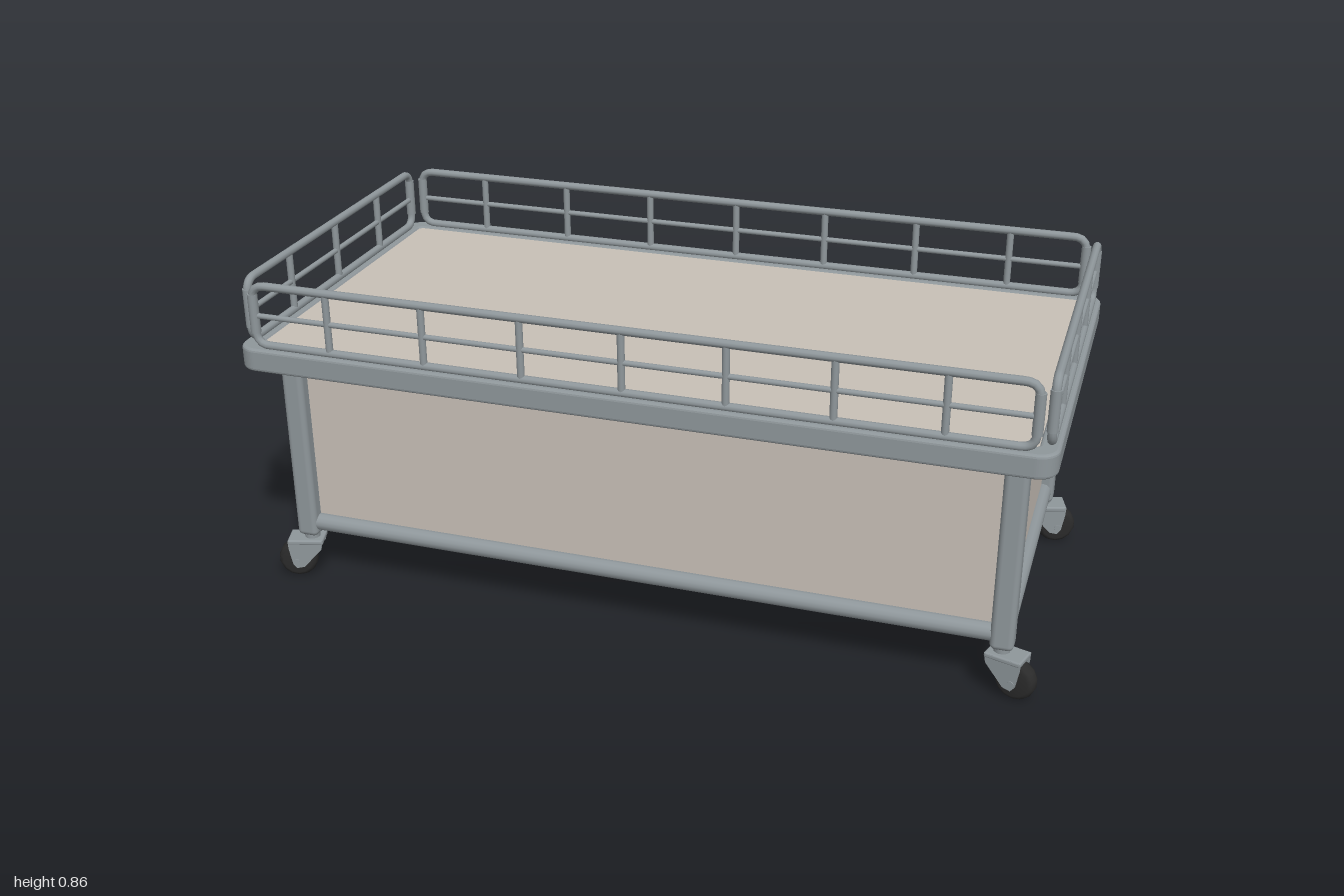
import * as THREE from 'three';
import { RoundedBoxGeometry } from 'three/addons/geometries/RoundedBoxGeometry.js';

const metal = new THREE.MeshStandardMaterial({ color: 0x8f979b });
metal.name = 'grey metal';
const panel = new THREE.MeshStandardMaterial({ color: 0xc8c0b7 });
panel.name = 'beige panel';
const rubber = new THREE.MeshStandardMaterial({ color: 0x2b2b2b });
rubber.name = 'black rubber';

function add(parent, name, geometry, material, x = 0, y = 0, z = 0) {
  const mesh = new THREE.Mesh(geometry, material);
  mesh.name = name;
  mesh.position.set(x, y, z);
  parent.add(mesh);
  return mesh;
}

// Round bar between two points
function bar(parent, name, a, b, r) {
  const from = new THREE.Vector3(...a), to = new THREE.Vector3(...b);
  const mesh = add(parent, name, new THREE.CylinderGeometry(r, r, from.distanceTo(to), 14), metal);
  mesh.position.copy(from).add(to).multiplyScalar(0.5);
  mesh.quaternion.setFromUnitVectors(new THREE.Vector3(0, 1, 0), to.sub(from).normalize());
}

function roundedRect(Type, w, d, r) {
  const s = new Type();
  s.moveTo(-w + r, -d);
  s.lineTo(w - r, -d);
  s.absarc(w - r, -d + r, r, -Math.PI / 2, 0);
  s.lineTo(w, d - r);
  s.absarc(w - r, d - r, r, 0, Math.PI / 2);
  s.lineTo(-w + r, d);
  s.absarc(-w + r, d - r, r, Math.PI / 2, Math.PI);
  s.lineTo(-w, -d + r);
  s.absarc(-w + r, -d + r, r, Math.PI, Math.PI * 1.5);
  return s;
}

// Closed tube loop with rounded corners, in the xy plane
function loopTube(half, low, high, corner, r) {
  const path = new THREE.CurvePath();
  const v = (x, y) => new THREE.Vector3(x, y, 0);
  const corners = [v(half, low), v(half, high), v(-half, high), v(-half, low)];
  const toward = (p, q) => p.clone().add(q.clone().sub(p).setLength(corner));
  corners.forEach((p, i) => {
    const prev = corners[(i + 3) % 4], next = corners[(i + 1) % 4];
    path.add(new THREE.QuadraticBezierCurve3(toward(p, prev), p, toward(p, next)));
    path.add(new THREE.LineCurve3(toward(p, next), toward(next, p)));
  });
  return new THREE.TubeGeometry(path, 300, r, 10, true);
}

// Guard rail: loop, middle bar, uprights and thicker end sleeves
function guardRail(name, half, spacing, count) {
  const rail = new THREE.Group();
  rail.name = name;
  add(rail, 'railLoop', loopTube(half, 0.696, 0.851, 0.035, 0.0105), metal);
  bar(rail, 'middleBar', [-half, 0.772, 0], [half, 0.772, 0], 0.007);
  for (let i = -count; i <= count; i++)
    bar(rail, 'upright', [i * spacing, 0.696, 0], [i * spacing, 0.851, 0], 0.009);
  for (const s of [-1, 1])
    bar(rail, 'endSleeve', [s * half, 0.728, 0], [s * half, 0.828, 0], 0.0125);
  return rail;
}

// Swivel caster trailing along local +x
function caster() {
  const g = new THREE.Group();
  g.name = 'caster';
  add(g, 'stem', new THREE.CylinderGeometry(0.02, 0.02, 0.03, 16), metal, 0, 0.12, 0);
  add(g, 'forkTop', new RoundedBoxGeometry(0.094, 0.014, 0.066, 2, 0.005), metal, 0.015, 0.108, 0);
  const side = new THREE.Shape([
    [-0.031, 0.113], [-0.026, 0.088], [0.022, 0.036], [0.042, 0.032],
    [0.052, 0.045], [0.06, 0.09], [0.061, 0.113],
  ].map(([x, y]) => new THREE.Vector2(x, y)));
  const plate = new THREE.ExtrudeGeometry(side, { depth: 0.006, bevelEnabled: false });
  add(g, 'forkSide', plate, metal, 0, 0, 0.026);
  add(g, 'forkSide', plate, metal, 0, 0, -0.032);
  const profile = [[0.008, -0.022], [0.038, -0.022], [0.047, -0.016], [0.051, -0.007],
    [0.051, 0.007], [0.047, 0.016], [0.038, 0.022], [0.008, 0.022]];
  const tyre = new THREE.LatheGeometry(profile.map(p => new THREE.Vector2(...p)), 14);
  add(g, 'wheel', tyre, rubber, 0.042, 0.051, 0).rotation.x = Math.PI / 2;
  add(g, 'axle', new THREE.CylinderGeometry(0.009, 0.009, 0.068, 12), metal, 0.042, 0.051, 0)
    .rotation.x = Math.PI / 2;
  return g;
}

export function createModel() {
  const model = new THREE.Group();
  model.name = 'railedTrolley';

  // Table top: rounded metal rim around a beige surface
  const b = 0.008;
  const rimShape = roundedRect(THREE.Shape, 1 - b, 0.5 - b, 0.042);
  rimShape.holes.push(roundedRect(THREE.Path, 0.96, 0.46, 0.02));
  const rim = new THREE.ExtrudeGeometry(rimShape, {
    depth: 0.06 - 2 * b, bevelThickness: b, bevelSize: b, bevelSegments: 3, curveSegments: 8,
  });
  add(model, 'tableRim', rim, metal, 0, 0.63 + b, 0).rotation.x = -Math.PI / 2;
  add(model, 'tableSurface', new THREE.BoxGeometry(1.935, 0.01, 0.935), panel, 0, 0.681, 0);
  add(model, 'tableUnderside', new THREE.BoxGeometry(1.93, 0.02, 0.93), metal, 0, 0.642, 0);

  // Enclosed cabinet between the legs
  const X = 0.907, Z = 0.384;
  add(model, 'cabinetPanels', new THREE.BoxGeometry(2 * X - 0.008, 0.47, 2 * Z - 0.008), panel, 0, 0.397, 0);

  // Frame bars along the lower and upper edges
  for (const y of [0.162, 0.622]) {
    for (const s of [-1, 1]) {
      bar(model, 'longFrameBar', [-X, y, s * Z], [X, y, s * Z], 0.023);
      bar(model, 'shortFrameBar', [s * X, y, -Z], [s * X, y, Z], 0.023);
    }
  }

  // Legs and casters, with casters turned outward
  for (const sx of [-1, 1]) {
    for (const sz of [-1, 1]) {
      add(model, 'leg', new RoundedBoxGeometry(0.057, 0.51, 0.057, 3, 0.014), metal, sx * X, 0.381, sz * Z);
      const c = caster();
      c.position.set(sx * X, 0, sz * Z);
      c.rotation.y = Math.atan2(-sz * 0.3, sx);
      model.add(c);
    }
  }

  // Guard rails on all four sides
  for (const s of [-1, 1]) {
    const long = guardRail(s > 0 ? 'frontRail' : 'backRail', 0.948, 0.25, 3);
    long.position.z = s * 0.477;
    const short = guardRail(s > 0 ? 'leftRail' : 'rightRail', 0.45, 0.242, 1);
    short.rotation.y = Math.PI / 2;
    short.position.x = s * 0.977;
    model.add(long, short);
  }
  return model;
}
